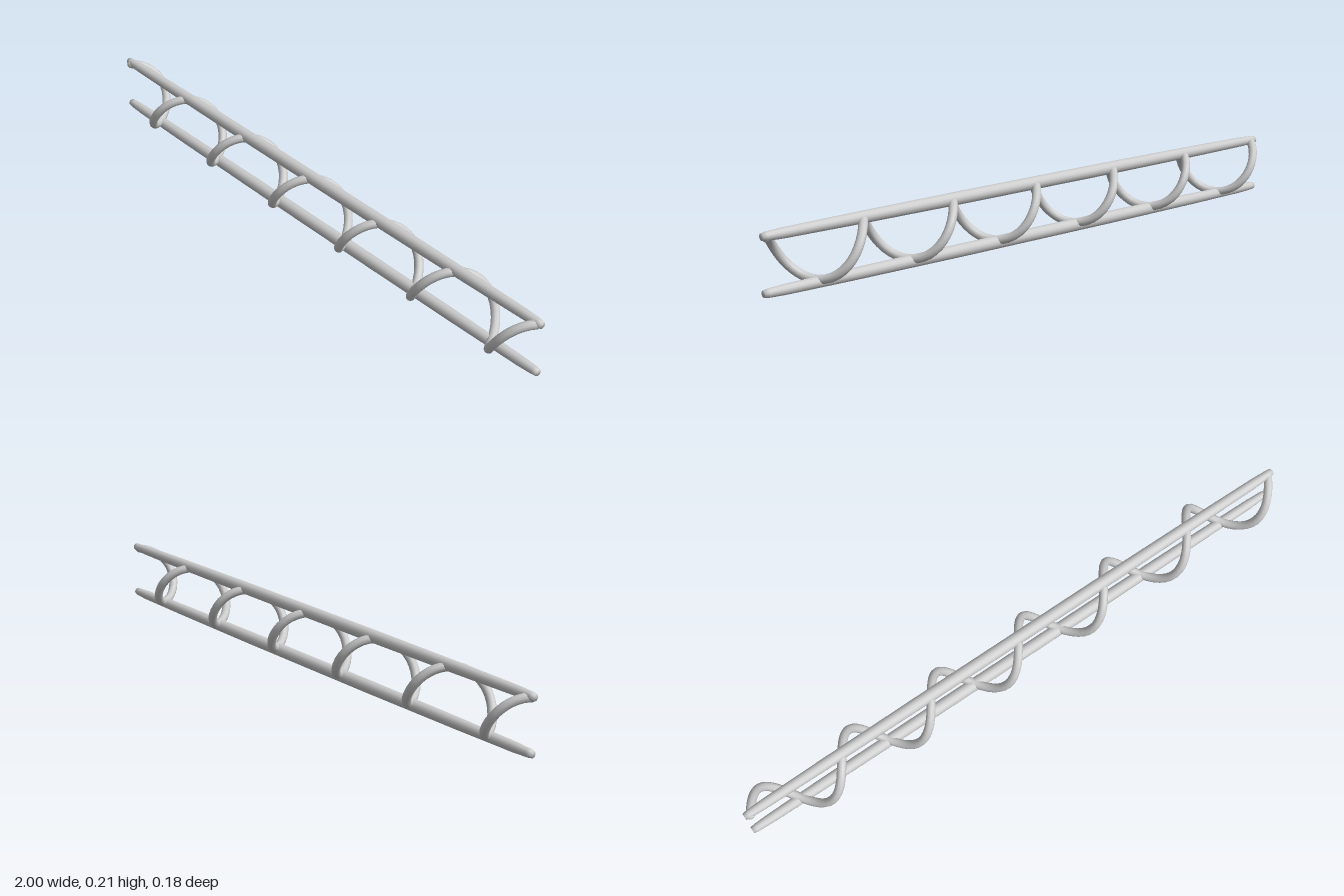
import * as THREE from 'three';

export function createModel() {
  const group = new THREE.Group();
  const material = new THREE.MeshStandardMaterial({ color: 0xcccccc });
  const add = (name, geometry, x, y, z) => {
    const mesh = new THREE.Mesh(geometry, material);
    mesh.name = name;
    mesh.position.set(x, y, z);
    group.add(mesh);
    return mesh;
  };

  // Two rails, thickest at mid-span and tapering to blunt ends
  const half = [[0.011, 1], [0.0135, 0.985], [0.016, 0.93], [0.0185, 0.7], [0.0205, 0.3]];
  const profile = [
    [0, -1], ...half.map(([r, x]) => [r, -x]),
    ...half.slice().reverse(), [0, 1],
  ].map(([r, x]) => new THREE.Vector2(r, x));
  const railGeometry = new THREE.LatheGeometry(profile, 14).rotateZ(-Math.PI / 2);
  add('topRail', railGeometry, 0, 0.19, -0.004);
  add('bottomRail', railGeometry, 0, 0.024, -0.004);

  // Coil of six turns winding between the rails
  const turns = 6, reach = 0.982, radius = 0.077, thickness = 0.0142;
  class Helix extends THREE.Curve {
    getPoint(t, target = new THREE.Vector3()) {
      const a = t * turns * Math.PI * 2;
      return target.set((2 * t - 1) * reach, Math.cos(a) * radius, -Math.sin(a) * radius);
    }
  }
  const helix = new Helix();
  add('coil', new THREE.TubeGeometry(helix, turns * 28, thickness, 10), 0, 0.108, 0);

  // Rounded caps closing the coil
  for (const t of [0, 1]) {
    const p = helix.getPoint(t);
    add('coilEnd', new THREE.SphereGeometry(thickness, 10, 8), p.x, p.y + 0.108, p.z);
  }
  return group;
}
